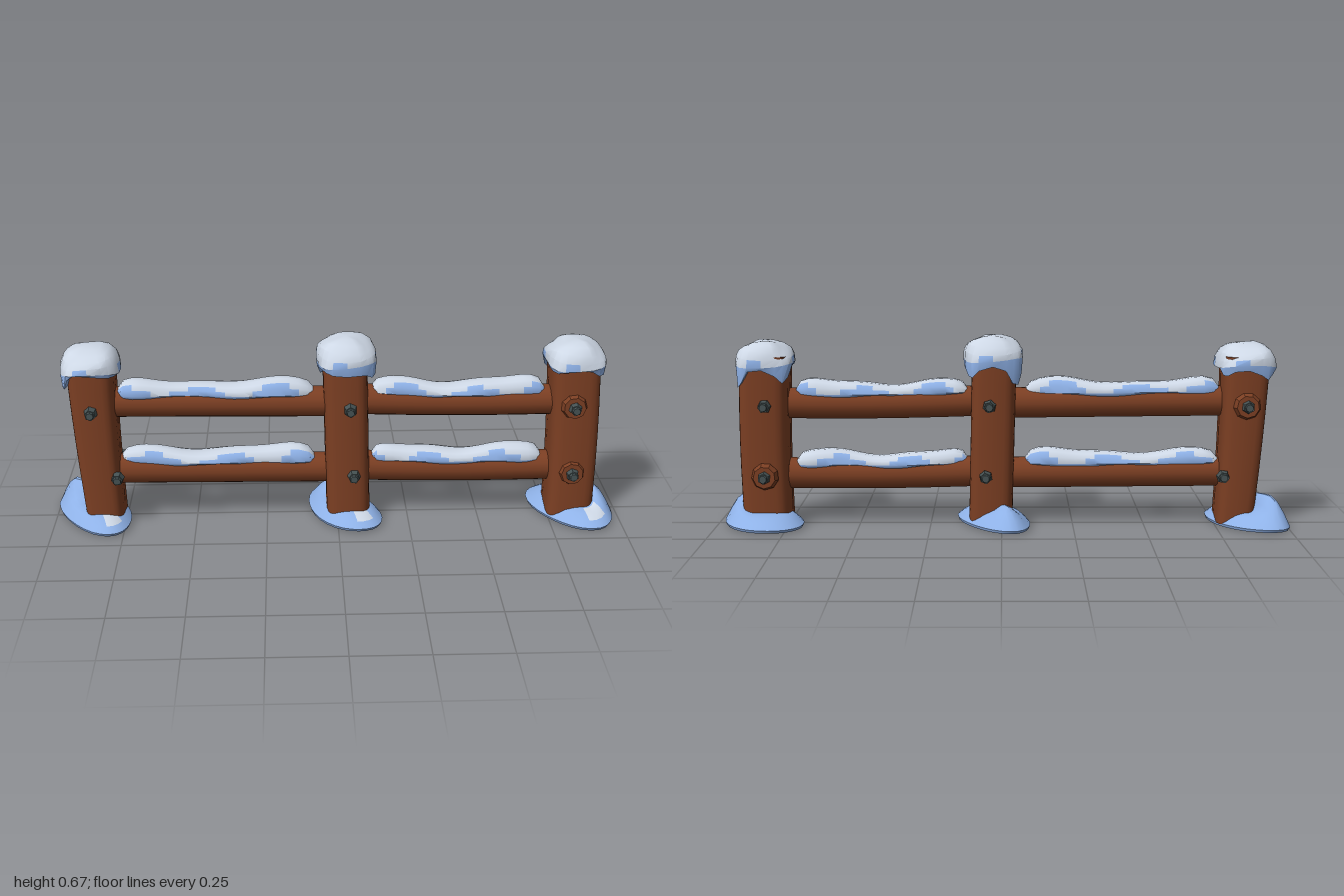
import * as THREE from 'three';
import { toCreasedNormals } from 'three/addons/utils/BufferGeometryUtils.js';

const TAU = Math.PI * 2;
const { lerp, degToRad } = THREE.MathUtils;
const material = (name, color) => {
  const m = new THREE.MeshStandardMaterial({ color });
  m.name = name;
  return m;
};

// Skins a list of equal closed rings; pick(ring, segment) chooses material 0 or 1
function loft(rings, crease, pick = () => 0) {
  const n = rings[0].length, sets = [[], []];
  for (let i = 0; i < rings.length - 1; i++) {
    for (let j = 0; j < n; j++) {
      const a = i * n + j, b = i * n + (j + 1) % n;
      sets[pick(i, j)].push(a, a + n, b, b, a + n, b + n);
    }
  }
  const g = new THREE.BufferGeometry();
  g.setAttribute('position', new THREE.Float32BufferAttribute(rings.flat(2), 3));
  g.setIndex(sets.flat());
  g.addGroup(0, sets[0].length, 0);
  g.addGroup(sets[0].length, sets[1].length, 1);
  return toCreasedNormals(g, crease);
}

const steps = (n, f) => Array.from({ length: n }, (_, i) => f(i));
const ring = (n, f) => steps(n, (j) => f(j / n * TAU));
const squash = (v, p) => Math.sign(v) * Math.pow(Math.abs(v), p);
// Sum of lobes, each [angle in degrees, height]
const lobes = (a, list, k) => list.reduce((s, [deg, h]) =>
  s + h * Math.pow(Math.max(0, Math.cos(a - degToRad(deg))), k), 0);

// Rounded square timber, leaning and bowed a little on its way up
function postGeometry({ foot, head, bow }) {
  return loft(steps(7, (i) => {
    const t = i / 6, curve = bow * Math.sin(t * Math.PI);
    const x0 = lerp(foot[0], head[0], t) + curve, x1 = lerp(foot[1], head[1], t) + curve;
    const hz = lerp(0.094, 0.098, t), zMid = lerp(0.014, 0, t);
    return ring(24, (a) => [(x0 + x1) / 2 + squash(Math.cos(a), 0.5) * (x1 - x0) / 2,
      0.01 + 0.59 * t, zMid + squash(Math.sin(a), 0.5) * hz]);
  }), 0.6);
}

// Faceted dome of snow with drips hanging from the rim
function capGeometry({ x, top, drips }) {
  const layer = (s, i, height) => ring(20, (a) => {
    const r = s * (1 + 0.03 * Math.sin(a * 4 + x * 7 + i));
    return [x + r * 0.1 * squash(Math.cos(a), 0.65), height(a), 0.004 + r * 0.112 * squash(Math.sin(a), 0.65)];
  });
  const rim = (a) => 0.562 - lobes(a, drips, 12) + 0.008 * Math.sin(a * 3 + x * 5);
  const dome = steps(6, (i) => {
    const u = i / 5 * Math.PI / 2, s = Math.pow(Math.max(0, Math.cos(u)), 0.8);
    return layer(s * 1.03, i, (a) => top - 0.08 * (1 - Math.sin(u)) + 0.007 * s * Math.sin(a * 2 + x * 9 + i));
  });
  const rings = [layer(0.7, 0, (a) => rim(a) + 0.02), layer(0.99, 0, rim), ...dome];
  return loft(rings, 0.5, (i, j) => (i > 2 || (i === 2 && j % 5 > 0) ? 1 : 0));
}

// Drift of snow around a post foot: a slanted oval rising towards the timber
function driftGeometry({ x, drift, hill }) {
  const [cx, rx, rz, slant] = drift;
  const layer = (s, height) => ring(28, (a) => {
    const r = 1 + 0.04 * Math.sin(a * 3 + x * 4), z = rz * r * Math.sin(a);
    return [cx + s * (rx * r * Math.cos(a) + slant * z), height(a), s * z];
  });
  const slope = steps(8, (i) => layer(1 - i / 7, (a) => {
    const rise = Math.sin(Math.min(1, i / 3.5) * Math.PI / 2);
    return 0.012 + (0.04 + lobes(a, [hill], 5)) * rise;
  }));
  const rings = [layer(0, () => 0), layer(0.97, () => 0.002), ...slope];
  return loft(rings, 0.6, (i, j) => ((i === 3 || i === 4) && j > 3 && j < 7 ? 1 : 0));
}

// Ridge of snow lying along a rail between x0 and x1
function ridgeGeometry(railY, railZ, x0, x1, seed) {
  const n = 14, m = 22;
  const rings = steps(m + 1, (i) => {
    const t = i / m, x = lerp(x0, x1, t);
    const taper = Math.sqrt(1 - Math.pow(Math.abs(2 * t - 1), 7));
    const up = taper * (0.045 + 0.014 * Math.cos(t * TAU + 0.3) + 0.004 * Math.sin(t * 17 + seed));
    const low = 0.016 + 0.009 * Math.sin(t * 13 + seed);
    const wide = (0.35 + 0.65 * taper) * (0.049 + 0.005 * Math.sin(t * 11 + seed * 2));
    return ring(n, (a) => [x, railY(x) + 0.036 + Math.sin(a) * (Math.sin(a) > 0 ? up : low),
      railZ + wide * squash(Math.cos(a), 0.8) + 0.004 * Math.sin(t * 9 + seed)]);
  });
  const end = (x) => ring(n, () => [x, railY(x) + 0.036, railZ]);
  return loft([end(x0), ...rings, end(x1)], 0.8, (i, j) => {
    const lift = Math.sin((j + 0.5) / n * TAU);
    return lift > 0.42 + 0.4 * Math.sin(i * 0.75 + seed) && i > 0 && i <= m ? 1 : 0;
  });
}

export function createModel() {
  const root = new THREE.Group();
  root.name = 'snowyFence';
  const wood = material('brown wood', 0x7c3f23);
  const iron = material('dark iron', 0x465253);
  const snow = [material('blue snow', 0x8fb2e8), material('white snow', 0xced8e6)];
  const add = (parent, name, geometry, mat) => {
    const mesh = new THREE.Mesh(geometry, mat);
    mesh.name = name;
    parent.add(mesh);
  };

  // Bolt, standing on a wooden boss where boss is true
  const addBolt = (parent, x, y, z, side, boss, spin) => {
    const bolt = new THREE.Group();
    bolt.name = 'bolt';
    const disc = (name, r, depth, at, sides, mat) => {
      const g = new THREE.CylinderGeometry(r * 0.8, r, depth, sides).rotateX(Math.PI / 2).translate(0, 0, at);
      add(bolt, name, toCreasedNormals(g, 0.5), mat);
    };
    const lift = boss ? 0.01 : 0;
    if (boss) disc('boss', 0.048, 0.026, 0.003, 9, wood);
    disc('nut', 0.024, 0.028, 0.014 + lift, 6, iron);
    disc('stud', 0.016, 0.014, 0.031 + lift, 8, iron);
    bolt.position.set(x, y, side * z);
    bolt.rotation.set(0, side < 0 ? Math.PI : 0, spin);
    parent.add(bolt);
  };

  // Posts; bolts are upper and lower, bosses read front upper, front lower, back upper, back lower
  const posts = [
    { name: 'rightPost', x: -0.848, top: 0.645, foot: [-0.885, -0.752], head: [-0.93, -0.765], bow: -0.004,
      drips: [[150, 0.055], [235, 0.05], [320, 0.03]], drift: [-0.862, 0.122, 0.182, 0.34], hill: [225, 0.065],
      bolts: [-0.845, -0.767], bosses: '0010' },
    { name: 'middlePost', x: 0.03, top: 0.668, foot: [-0.038, 0.115], head: [-0.052, 0.103], bow: 0,
      drips: [[225, 0.06], [30, 0.03], [310, 0.03]], drift: [0.024, 0.118, 0.185, 0.28], hill: [260, 0.03],
      bolts: [0.042, 0.055], bosses: '0000' },
    { name: 'leftPost', x: 0.823, top: 0.65, foot: [0.74, 0.908], head: [0.735, 0.908], bow: 0.006,
      drips: [[318, 0.08], [50, 0.025], [230, 0.05]], drift: [0.842, 0.138, 0.192, 0.22], hill: [10, 0.05],
      bolts: [0.815, 0.82], bosses: '1101' },
  ];
  for (const p of posts) {
    const group = new THREE.Group();
    group.name = p.name;
    add(group, 'timber', postGeometry(p), wood);
    add(group, 'snowCap', capGeometry(p), snow);
    add(group, 'snowDrift', driftGeometry(p), snow);
    for (let i = 0; i < 4; i++) {
      const x = p.bolts[i % 2], y = i % 2 ? 0.184 : 0.431;
      const z = x === -0.767 ? 0.09 : 0.101; // this one sits on the rounded corner
      addBolt(group, x, y, z, i < 2 ? 1 : -1, p.bosses[i] === '1', i * 0.4 + p.x);
    }
    root.add(group);
  }

  // Two sagging rails in each bay, with a ridge of snow on each
  for (const [bay, x0, x1, sag] of [['right', -0.85, 0.02, 0], ['left', 0.03, 0.82, 0.006]]) {
    for (const [level, y0, drop] of [['upper', 0.438, 0.009], ['lower', 0.187, 0.007]]) {
      const z = 0.01, seed = x0 * 4 + y0 * 9;
      const railY = (x) => {
        const t = (x - x0) / (x1 - x0);
        return y0 - drop * t - sag * Math.sin(t * Math.PI);
      };
      const path = new THREE.CatmullRomCurve3(steps(5, (i) => {
        const x = lerp(x0, x1, i / 4);
        return new THREE.Vector3(x, railY(x), z);
      }));
      const rail = new THREE.Group();
      rail.name = `${level} ${bay} rail`;
      add(rail, 'log', new THREE.TubeGeometry(path, 16, 0.054, 14), wood);
      add(rail, 'snowRidge', ridgeGeometry(railY, z, x0 + 0.08, x1 - 0.09, seed), snow);
      root.add(rail);
    }
  }
  return root;
}
